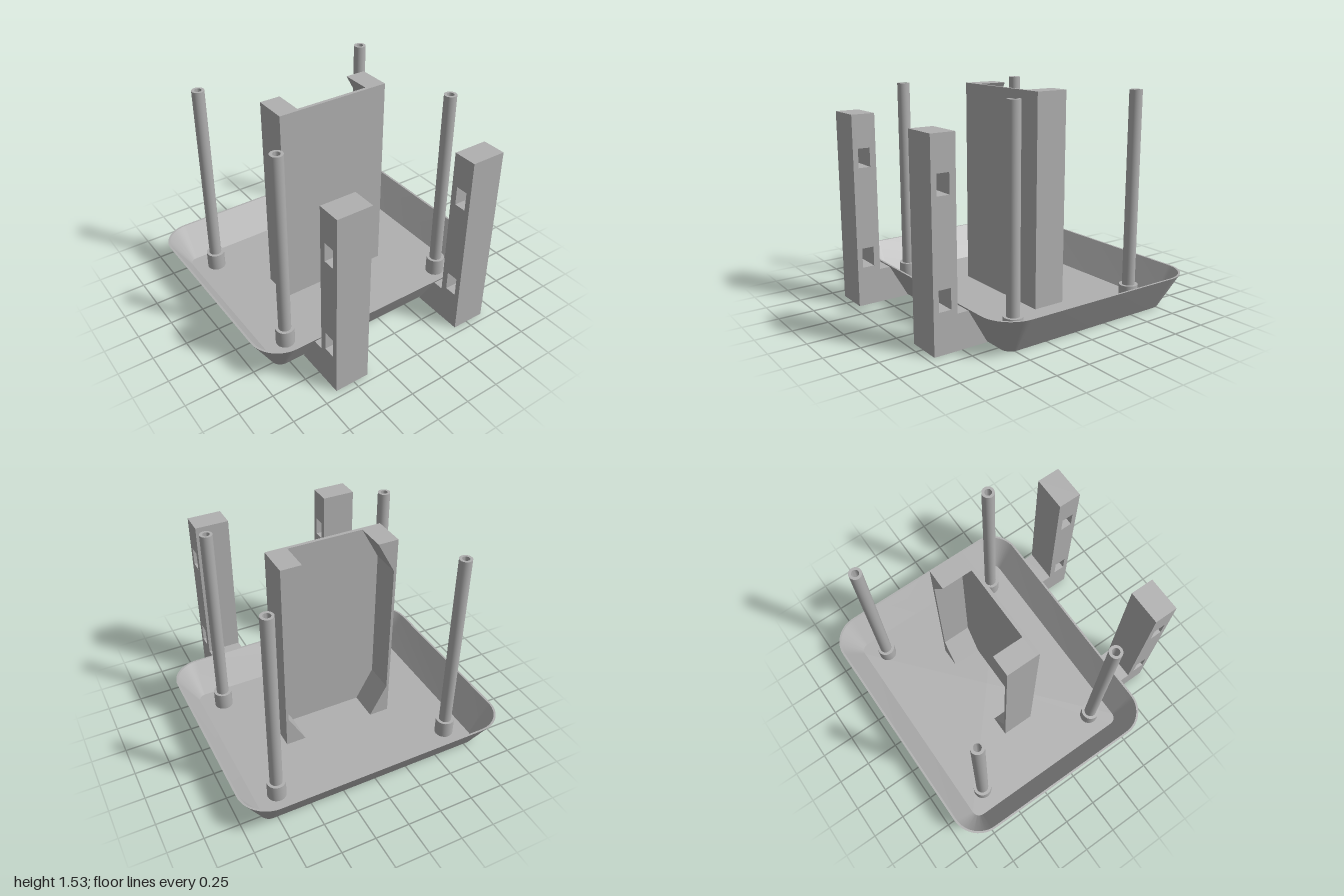
import * as THREE from 'three';
import { toCreasedNormals } from 'three/addons/utils/BufferGeometryUtils.js';

const FLOOR = 0.02, TOP = 1.53;

// Rounded rectangle loop [hx, hz, radius, y], centred on the tray
function ring([hx, hz, r, y], steps = 12) {
  const pts = [];
  for (let c = 0; c < 4; c++) {
    const sx = c === 0 || c === 3 ? 1 : -1, sz = c < 2 ? 1 : -1;
    for (let i = 0; i <= steps; i++) {
      const a = (c + i / steps) * Math.PI / 2;
      pts.push([sx * (hx - r) + r * Math.cos(a), y, sz * (hz - r) + r * Math.sin(a) - 0.1225]);
    }
  }
  return pts;
}

// Skin consecutive loops, first and last collapse to a point to cap the shape
function trayGeometry() {
  const loops = [
    [0, 0, 0, 0], [0.85, 0.6775, 0.07, 0], [1, 0.8275, 0.22, 0.256],
    [0.985, 0.8125, 0.205, 0.256], [0.84, 0.6725, 0.06, FLOOR], [0, 0, 0, FLOOR],
  ].map((l) => ring(l));
  const pos = [];
  for (let k = 0; k < loops.length - 1; k++) {
    const lo = loops[k], hi = loops[k + 1], n = lo.length;
    for (let i = 0; i < n; i++) {
      const j = (i + 1) % n;
      if (k < loops.length - 2) pos.push(...lo[i], ...hi[i], ...hi[j]);
      if (k > 0) pos.push(...lo[i], ...hi[j], ...lo[j]);
    }
  }
  const g = new THREE.BufferGeometry();
  g.setAttribute('position', new THREE.Float32BufferAttribute(pos, 3));
  return toCreasedNormals(g, 0.5);
}

const shapeOf = (pts) => new THREE.Shape(pts.map(([x, y]) => new THREE.Vector2(x, y)));

export function createModel() {
  const model = new THREE.Group();
  const grey = new THREE.MeshStandardMaterial({ color: 0xb0b0b0 });
  grey.name = 'plain grey';
  const add = (name, geometry) => {
    const m = new THREE.Mesh(geometry, grey);
    m.name = name;
    model.add(m);
    return m;
  };

  // Flared tray with rounded corners
  add('tray', trayGeometry());

  // Hollow posts with a collar at the foot
  const post = toCreasedNormals(new THREE.LatheGeometry([
    [0.067, FLOOR], [0.067, 0.15], [0.045, 0.15], [0.045, TOP], [0.026, TOP], [0.026, FLOOR],
  ].map(([x, y]) => new THREE.Vector2(x, y)), 24), 0.6);
  for (const x of [-0.682, 0.682]) {
    for (const z of [-0.635, 0.39]) add('post', post).position.set(x, 0, z);
  }

  // Centre panel
  add('panel', new THREE.BoxGeometry(0.85, TOP - FLOOR, 0.025))
    .position.set(0, (TOP + FLOOR) / 2, -0.0075);

  // Side flanges widening at top and bottom
  for (const s of [1, -1]) {
    const flange = shapeOf([
      [0.425, FLOOR], [0.425, TOP], [0.275, TOP], [0.405, TOP - 0.24],
      [0.405, FLOOR + 0.24], [0.275, FLOOR],
    ].map(([x, y]) => [s * x, y]));
    add('panelFlange', new THREE.ExtrudeGeometry(flange, { depth: 0.22, bevelEnabled: false }))
      .position.z = -0.24;
  }

  // Slotted front pillars with a foot running into the tray wall
  const pillar = shapeOf([
    [0.56, 0], [0.95, 0], [0.95, 1.365], [0.78, 1.365], [0.78, 0.245], [0.702, 0.245],
  ]);
  for (const [y0, y1] of [[0.28, 0.42], [0.995, 1.13]]) {
    pillar.holes.push(shapeOf([[0.825, y0], [0.825, y1], [0.912, y1], [0.912, y0]]));
  }
  const pillarGeo = new THREE.ExtrudeGeometry(pillar, { depth: 0.25, bevelEnabled: false });
  pillarGeo.rotateY(-Math.PI / 2).translate(0.125, 0, 0);
  for (const s of [1, -1]) add('frontPillar', pillarGeo).position.x = s * 0.515;

  return model;
}
